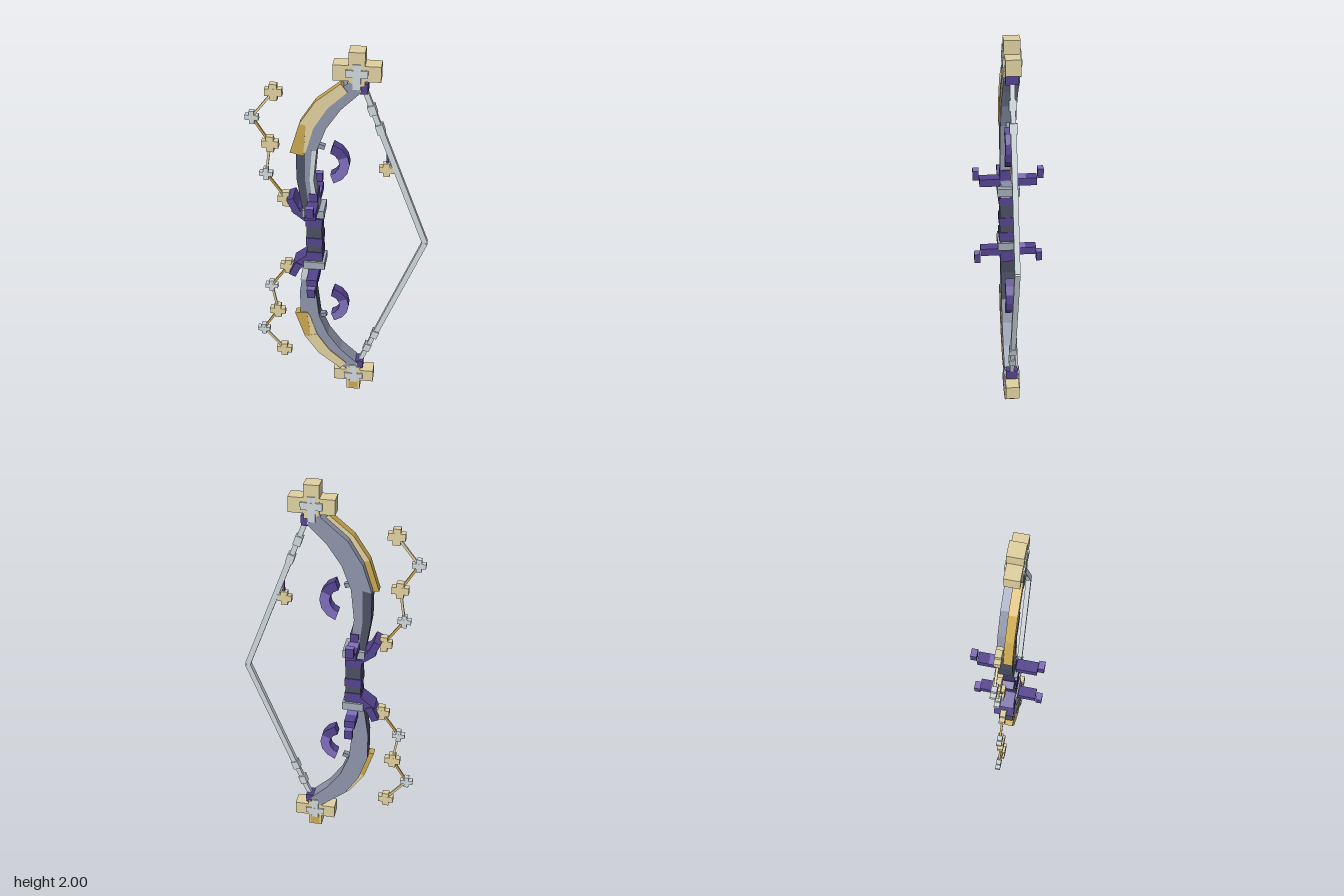
import * as THREE from 'three';

const mat = (name, hex) => {
  const m = new THREE.MeshStandardMaterial({ color: hex });
  m.name = name;
  return m;
};

export function createModel() {
  const gold = mat('paleGold', 0xe0d1a0);
  const darkGold = mat('darkGold', 0xcaa850);
  const silver = mat('silver', 0xcfd8dd);
  const steel = mat('steel', 0xa2abb8);
  const slate = mat('slate', 0x8e95a9);
  const dark = mat('darkSlate', 0x4b5062);
  const purple = mat('purple', 0x806ebd);
  const deepPurple = mat('deepPurple', 0x55448f);

  const bow = new THREE.Group();
  bow.name = 'bow';

  function add(parent, name, geometry, material) {
    const mesh = new THREE.Mesh(geometry, material);
    mesh.name = name;
    parent.add(mesh);
    return mesh;
  }

  function box(parent, name, [x, y, z], [w, h, d], material) {
    const mesh = add(parent, name, new THREE.BoxGeometry(w, h, d), material);
    mesh.position.set(x, y, z);
    return mesh;
  }

  // Square bar lying in the xy plane between two points
  function bar(parent, name, a, b, width, depth, material) {
    const dx = b[0] - a[0], dy = b[1] - a[1];
    const mesh = box(parent, name, [(a[0] + b[0]) / 2, (a[1] + b[1]) / 2, 0],
      [width, Math.hypot(dx, dy), depth], material);
    mesh.rotation.z = Math.atan2(-dx, dy);
    return mesh;
  }

  // Faceted strip between an outer and an inner edge, from z0 to z1
  function band(parent, name, outer, inner, z0, z1, faces, sides) {
    const pts = [...outer, ...[...inner].reverse()].map(p => new THREE.Vector2(...p));
    const geo = new THREE.ExtrudeGeometry(new THREE.Shape(pts), { depth: z1 - z0, bevelEnabled: false });
    geo.translate(0, 0, z0);
    return add(parent, name, geo, [faces, sides]);
  }

  // Plus-shaped charm
  function plus(parent, name, [x, y], size, arm, depth, material) {
    box(parent, name + 'Across', [x, y, 0], [size, arm, depth], material);
    box(parent, name + 'Upright', [x, y, 0], [arm, size, depth * 0.98], material);
  }

  // Wrapped grip
  box(bow, 'grip', [-0.12, 1, 0], [0.076, 0.28, 0.088], dark);
  for (const y of [0.9, 0.985, 1.1]) {
    box(bow, 'gripWrap', [-0.12, y, 0], [0.082, 0.045, 0.096], deepPurple);
  }

  // Box face order: +x, -x, +y, -y, +z, -z
  const tipFaces = [gold, gold, gold, darkGold, gold, gold];
  const prongTipFaces = [deepPurple, deepPurple, purple, deepPurple, deepPurple, deepPurple];

  for (const s of [1, -1]) {
    const upper = s > 0;
    const half = new THREE.Group();
    half.name = upper ? 'upperHalf' : 'lowerHalf';
    bow.add(half);
    const P = (x, y) => [x, 1 + s * (y - 1)];
    const edge = pts => pts.map(([x, y]) => P(x, y));
    const at = (x, y, z = 0) => [...P(x, y), z];

    // Limb: root near the grip, then the curved outer part
    const rootOuter = edge([[-0.16, 1.12], [-0.18, 1.2], [-0.2, 1.34], [-0.2, 1.49]]);
    const rootMid = edge([[-0.13, 1.12], [-0.145, 1.2], [-0.16, 1.34], [-0.155, 1.5]]);
    const rootInner = edge([[-0.08, 1.12], [-0.1, 1.2], [-0.118, 1.34], [-0.102, 1.5]]);
    band(half, 'limbRootOuter', rootOuter, rootMid, -0.037, 0.037, upper ? dark : slate, dark);
    band(half, 'limbRootInner', rootMid, rootInner, -0.037, 0.037, slate, upper ? slate : dark);
    band(half, 'limb',
      edge([[-0.2, 1.49], [-0.155, 1.63], [-0.085, 1.745], [0.05, 1.86]]),
      edge([[-0.102, 1.5], [-0.057, 1.62], [0.01, 1.72], [0.1, 1.81]]),
      -0.037, 0.037, slate, slate);

    // Bright edging on the front of the root
    const edging = upper
      ? [[[-0.125, 1.2], [-0.138, 1.34], [-0.125, 1.5]], [[-0.1, 1.2], [-0.118, 1.34], [-0.102, 1.5]]]
      : [[[-0.18, 1.17], [-0.195, 1.26]], [[-0.15, 1.17], [-0.165, 1.26]]];
    band(half, 'limbEdging', edge(edging[0]), edge(edging[1]), 0.034, 0.039, silver, slate);
    // Dark inner edging on the front of the lower root
    if (!upper) {
      band(half, 'limbShadowEdging',
        edge([[-0.12, 1.17], [-0.135, 1.34]]), edge([[-0.094, 1.17], [-0.117, 1.34]]),
        0.034, 0.039, dark, dark);
    }

    // Gold armour along the front half of the outer edge
    band(half, 'armourLower',
      edge([[-0.228, 1.485], [-0.18, 1.64]]), edge([[-0.165, 1.475], [-0.15, 1.63]]),
      0, 0.041, darkGold, darkGold);
    band(half, 'armourUpper',
      edge([[-0.18, 1.64], [-0.105, 1.755], [0.01, 1.85]]),
      edge([[-0.115, 1.62], [-0.05, 1.725], [0.04, 1.81]]),
      0, 0.041, gold, darkGold);
    band(half, 'armourFacing',
      edge([[-0.165, 1.475], [-0.15, 1.63], [-0.18, 1.64]]),
      edge([[-0.15, 1.5], [-0.115, 1.62]]), 0, 0.04, gold, gold);

    // Tip: crossed gold blocks with a silver cross set in
    box(half, 'tipAcross', at(0.08, 1.9), [0.214, 0.074, 0.07], tipFaces);
    box(half, 'tipUpright', at(0.08, 1.92), [0.072, 0.16, 0.074], tipFaces);
    box(half, 'tipInsetAcross', at(0.08, 1.9), [0.1, 0.035, 0.086], silver);
    box(half, 'tipInsetUpright', at(0.08, 1.885), [0.036, 0.12, 0.084], silver);
    box(half, 'tipNeck', at(0.07, 1.835), [0.06, 0.05, 0.07], silver);
    box(half, 'tipBinding', at(0.1, 1.825), [0.06, 0.05, 0.06], deepPurple);

    // String with two knots
    bar(half, 'string', P(0.11, 1.82), P(0.19, 1.61), 0.024, 0.022, silver);
    bar(half, 'string', P(0.187, 1.62), P(0.422, 1), 0.027, 0.026, silver);
    bar(half, 'stringKnot', P(0.142, 1.735), P(0.157, 1.69), 0.036, 0.036, silver);
    bar(half, 'stringKnot', P(0.18, 1.64), P(0.195, 1.595), 0.036, 0.036, silver);

    // Guard collar with side prongs
    box(half, 'guard', at(-0.122, 1.155), [0.106, 0.042, 0.11], steel);
    for (const z of [1, -1]) {
      box(half, 'prong', at(-0.122, 1.2, z * 0.115), [0.053, 0.04, 0.055], deepPurple);
      box(half, 'prongRoot', at(-0.122, 1.2, z * 0.065), [0.053, 0.04, 0.045],
        z < 0 ? prongTipFaces : deepPurple);
      box(half, 'prongTip', at(-0.122, 1.24, z * 0.16), [0.04, 0.05, 0.03], prongTipFaces);
    }
    box(half, 'guardGem', at(-0.122, 1.225), [0.042, 0.075, 0.084], deepPurple);

    // Outer thorn
    bar(half, 'thorn', P(-0.135, 1.11), P(-0.215, 1.175), 0.045, 0.09, deepPurple);
    bar(half, 'thornTip', P(-0.2, 1.155), P(-0.235, 1.23), 0.036, 0.1, deepPurple);

    // Crescent, dark towards its top end, and its peg
    const n = 6;
    const arc = r => Array.from({ length: n + 1 }, (_, i) => {
      const a = THREE.MathUtils.degToRad(-72 + i * 144 / n);
      return P(-0.06 + r * Math.cos(a), 1.425 + r * Math.sin(a));
    });
    const outer = arc(0.11), inner = arc(0.062);
    for (let i = 0; i < n; i++) {
      const colour = (upper ? i >= 4 : i < 2) ? deepPurple : purple;
      band(half, 'crescent', outer.slice(i, i + 2), inner.slice(i, i + 2), -0.024, 0.024, colour, deepPurple);
    }
    bar(half, 'crescentPeg', P(-0.12, 1.52), P(-0.068, 1.503), 0.022, 0.024, slate);

    // Dangling chain of plus charms
    const chain = edge([[-0.3, 1.775], [-0.406, 1.64], [-0.326, 1.505], [-0.352, 1.34], [-0.26, 1.205]]);
    chain.forEach((p, i) => {
      if (i % 2) plus(half, 'silverCharm', p, 0.064, 0.024, 0.026, silver);
      else plus(half, 'goldCharm', p, 0.08, 0.035, 0.03, gold);
      if (i) bar(half, 'chainLink', chain[i - 1], p, 0.011, 0.011, i % 2 ? gold : darkGold);
    });
  }

  // Tarnished end of the lower tip
  box(bow, 'tipTarnish', [0.08, 0.035, 0], [0.05, 0.055, 0.077], darkGold);

  // Single charm hung from the string
  bar(bow, 'charmCord', [0.225, 1.49], [0.225, 1.41], 0.011, 0.011, deepPurple);
  plus(bow, 'stringCharm', [0.222, 1.405], 0.07, 0.032, 0.028, gold);

  return bow;
}
